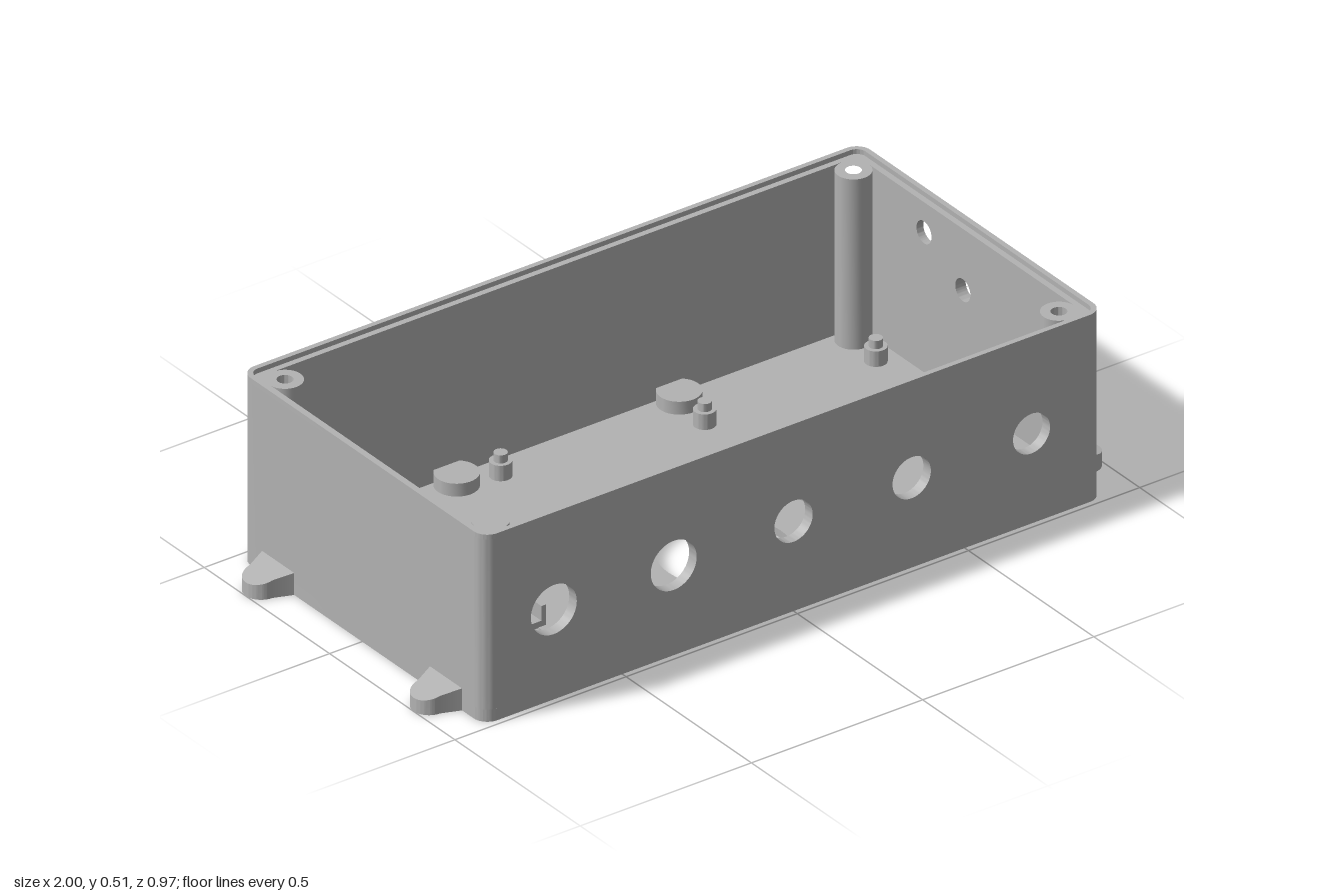
import * as THREE from 'three';
import { toCreasedNormals } from 'three/addons/utils/BufferGeometryUtils.js';

const W = 0.905, D = 0.485, T = 0.03, FLOOR = 0.033, LEDGE = 0.497, TOP = 0.51;

export function createModel() {
  const group = new THREE.Group();
  const plastic = new THREE.MeshStandardMaterial({ color: 0xb2b2b2 });
  plastic.name = 'grey plastic';

  const add = (name, geo, x = 0, y = 0, z = 0) => {
    const mesh = new THREE.Mesh(toCreasedNormals(geo, 0.6), plastic);
    mesh.name = name;
    mesh.position.set(x, y, z);
    group.add(mesh);
    return mesh;
  };
  const extrude = (shape, depth) =>
    new THREE.ExtrudeGeometry(shape, { depth, bevelEnabled: false, curveSegments: 32 });
  // Plan shapes are drawn in (x, -z) and raised along y
  const plan = (shape, height) => extrude(shape, height).rotateX(-Math.PI / 2);
  const lathe = pts =>
    new THREE.LatheGeometry(pts.map(p => new THREE.Vector2(p[0], p[1])), 40);
  const hole = (shape, x, y, r) => {
    const path = new THREE.Path();
    path.absarc(x, y, r, 0, Math.PI * 2, true);
    shape.holes.push(path);
  };
  const rounded = (w, d, r, Type = THREE.Shape) => {
    const s = new Type();
    s.absarc(w - r, d - r, r, 0, Math.PI / 2);
    s.absarc(r - w, d - r, r, Math.PI / 2, Math.PI);
    s.absarc(r - w, r - d, r, Math.PI, Math.PI * 1.5);
    s.absarc(w - r, r - d, r, Math.PI * 1.5, Math.PI * 2);
    s.closePath();
    return s;
  };
  const rect = (x0, x1, y0, y1) => new THREE.Shape([
    new THREE.Vector2(x0, y0), new THREE.Vector2(x1, y0),
    new THREE.Vector2(x1, y1), new THREE.Vector2(x0, y1)]);
  // Bevelled edge of a shallow round recess opening towards -y
  const recessBevel = (r, d) => lathe([[r, 0], [r, d], [r - 0.01, d], [r, 0]]);

  // Floor in two layers: the lower one has the wider recess
  const bosses = [[-0.325, -0.415], [0.325, -0.415], [-0.325, 0.23], [0.325, 0.23]];
  const floorLayer = (name, y, h, r) => {
    const s = rounded(W, D, 0.04);
    hole(s, 0, -0.21, r);
    bosses.forEach(([x, z]) => hole(s, x, -z, 0.033));
    add(name, plan(s, h), 0, y, 0);
  };
  floorLayer('floorUnderside', 0, 0.012, 0.2);
  floorLayer('floor', 0.012, FLOOR - 0.012, 0.165);
  add('floorRecessBevel', recessBevel(0.2, 0.012), 0, 0, 0.21);

  // Front wall with five round ports, and plain back wall
  const front = rect(-0.83, 0.83, FLOOR, LEDGE);
  [[-0.7, 0.067], [-0.35, 0.067], [0, 0.056], [0.345, 0.056], [0.695, 0.054]]
    .forEach(([x, r]) => hole(front, x, 0.245, r));
  add('frontWall', extrude(front, T), 0, 0, D - T);
  add('backWall', extrude(rect(-0.83, 0.83, FLOOR, LEDGE), T), 0, 0, -D);

  // Side walls: shapes drawn in (-z, y), extruded along +x
  const sideWall = (name, x, depth, holes) => {
    const s = rect(-0.41, 0.41, FLOOR, LEDGE);
    holes.forEach(([z, y, r]) => hole(s, -z, y, r));
    add(name, extrude(s, depth).rotateY(Math.PI / 2), x, 0, 0);
  };
  sideWall('plainSideWall', -W, T, []);
  sideWall('portSideWallInner', W - T, T - 0.01, [[-0.035, 0.33, 0.03], [-0.19, 0.415, 0.03]]);
  sideWall('portSideWallOuter', W - 0.01, 0.01, [[-0.035, 0.33, 0.03], [-0.19, 0.415, 0.075]]);
  add('sidePortBevel', recessBevel(0.075, 0.01).rotateZ(Math.PI / 2), W, 0.415, -0.19);

  // Corner columns: rounded outside, screw post inside
  for (const sx of [-1, 1]) for (const sz of [-1, 1]) {
    const pts = [];
    const arc = (cx, cy, r, a0, a1, n) => {
      for (let i = 0; i <= n; i++) {
        const a = a0 + (a1 - a0) * i / n;
        pts.push(new THREE.Vector2(sx * (cx + r * Math.cos(a)), sz * (cy + r * Math.sin(a))));
      }
    };
    pts.push(new THREE.Vector2(sx * 0.83, sz * D));
    arc(W - 0.04, D - 0.04, 0.04, Math.PI / 2, 0, 12);
    pts.push(new THREE.Vector2(sx * W, sz * 0.41));
    arc(0.83, 0.41, 0.045, 0, -Math.PI * 1.5, 30);
    const s = new THREE.Shape(pts);
    hole(s, sx * 0.83, sz * 0.41, 0.02);
    add('cornerPost', plan(s, LEDGE - FLOOR), 0, FLOOR, 0);
  }

  // Thin raised rim around the lid ledge
  const rim = rounded(W, D, 0.04);
  rim.holes.push(rounded(W - 0.014, D - 0.014, 0.026, THREE.Path));
  add('rim', plan(rim, TOP - LEDGE), 0, LEDGE, 0);

  // Mounting tabs, sloping down to a rounded end
  for (const side of [0, 1]) for (const z of [-0.335, 0.335]) {
    const s = new THREE.Shape();
    s.moveTo(0.9, -0.066);
    s.lineTo(0.955, -0.045);
    s.absarc(0.955, 0, 0.045, -Math.PI / 2, Math.PI / 2);
    s.lineTo(0.9, 0.066);
    s.closePath();
    hole(s, 0.946, 0, 0.02);
    const geo = plan(s, 1);
    const p = geo.attributes.position;
    for (let i = 0; i < p.count; i++) {
      if (p.getY(i) > 0.5) p.setY(i, 0.06 - 0.023 * (p.getX(i) - 0.905) / 0.095);
    }
    add('mountingTab', geo, 0, 0, z).rotation.y = side * Math.PI;
  }

  // Low round bosses, hollow from below
  bosses.forEach(([x, z]) => add('floorBoss', lathe([
    [0, 0.055], [0.033, 0.055], [0.033, FLOOR], [0.055, FLOOR], [0.055, 0.068], [0, 0.068],
  ]), x, 0, z));

  // Board standoffs with locating pins
  const boards = [[[-0.715, -0.215], [-0.39, 0.035]], [[0.315, 0.815], [-0.3, 0.12]]];
  for (const [xs, zs] of boards) for (const x of xs) for (const z of zs) {
    add('standoff', lathe([
      [0, FLOOR], [0.028, FLOOR], [0.028, 0.075], [0.017, 0.075], [0.017, 0.097], [0, 0.097],
    ]), x, 0, z);
  }

  // Small component cradle and stepped stop on the floor
  const block = (name, x0, x1, z0, z1, top) => add(name,
    new THREE.BoxGeometry(x1 - x0, top - FLOOR, z1 - z0),
    (x0 + x1) / 2, (top + FLOOR) / 2, (z0 + z1) / 2);
  block('cradleBase', -0.667, -0.557, 0.065, 0.24, 0.05);
  block('cradleSide', -0.68, -0.667, 0.065, 0.24, 0.09);
  block('cradleSide', -0.557, -0.544, 0.065, 0.24, 0.09);
  block('stopLow', -0.652, -0.612, 0.303, 0.368, 0.06);
  block('stopHigh', -0.612, -0.57, 0.303, 0.368, 0.08);

  return group;
}
